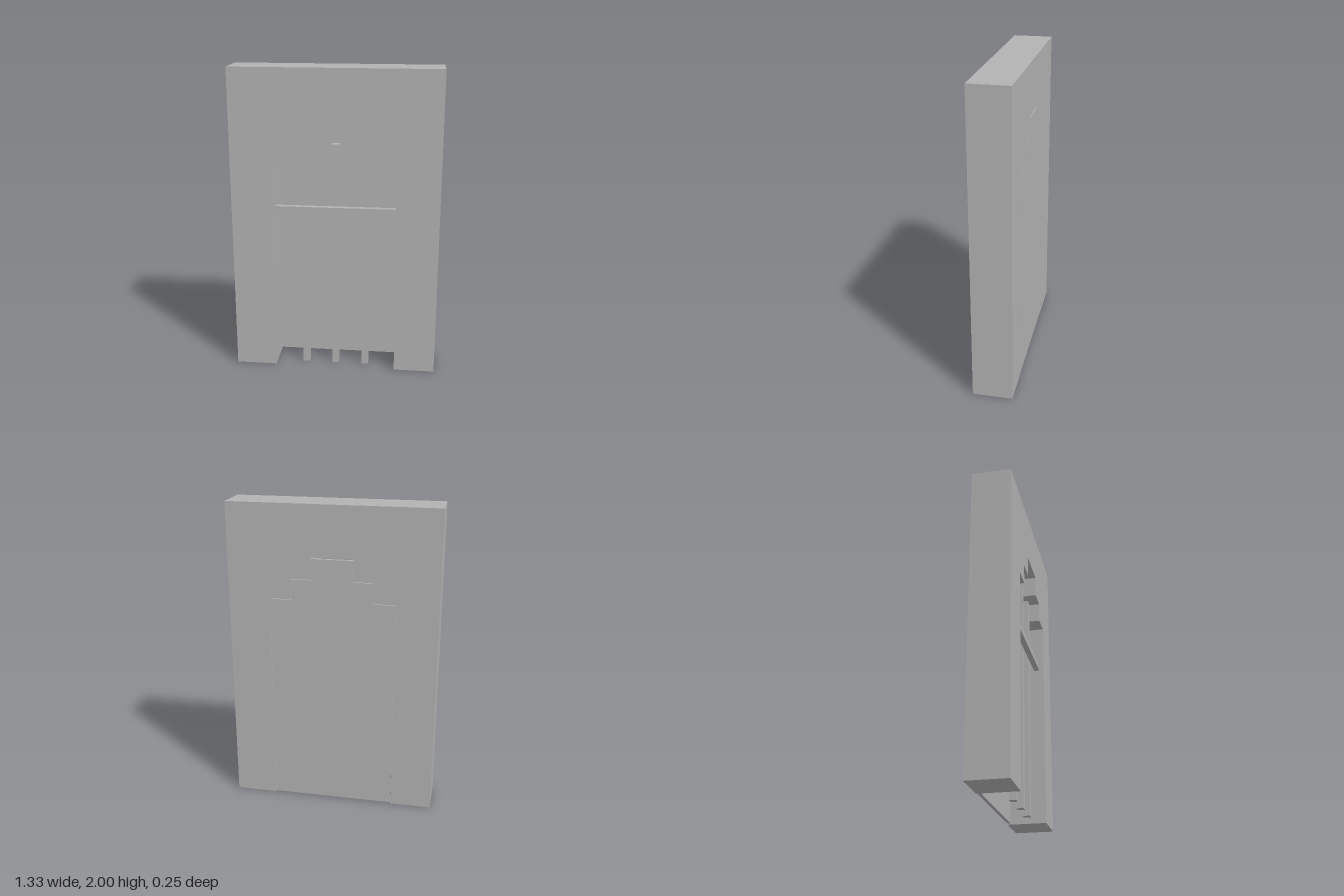
import * as THREE from 'three';

const grey = new THREE.MeshStandardMaterial({ color: 0xb2b2b2 });
grey.name = 'stone grey';

// Right half of the stepped arch, from the floor to the crown; mirrored for the left
function archOutline(inset, bottom, crown) {
  const half = [
    [0.4, bottom], [0.4, 1.4], [0.265, 1.4], [0.265, 1.533], [0.133, 1.533], [0.133, crown],
  ].map(([x, y], i) => [x - inset, i > 0 && i < 5 ? y - inset : y]);
  const mirrored = half.map(([x, y]) => [-x, y]).reverse();
  return [...half, ...mirrored].map(([x, y]) => new THREE.Vector2(x, y));
}

function addMesh(group, name, geometry, x = 0, y = 0, z = 0) {
  const mesh = new THREE.Mesh(geometry, grey);
  mesh.name = name;
  mesh.position.set(x, y, z);
  group.add(mesh);
}

function extrude(points, depth) {
  return new THREE.ExtrudeGeometry(new THREE.Shape(points), { depth, bevelEnabled: false });
}

export function createModel() {
  const group = new THREE.Group();
  group.name = 'steppedDoorway';

  // Wall slab with the stepped opening cut up from the floor
  const wall = [
    new THREE.Vector2(-0.667, 0), ...archOutline(0, 0, 1.674).reverse(),
    new THREE.Vector2(0.667, 0), new THREE.Vector2(0.667, 2), new THREE.Vector2(-0.667, 2),
  ];
  addMesh(group, 'wall', extrude(wall, 0.255), 0, 0, -0.1275);

  // Thin panel closing the back of the opening, with a small gap around it
  addMesh(group, 'backPanel', extrude(archOutline(0.003, 0.008, 1.665), 0.021), 0, 0, -0.1275);

  // Three upright bars and the rail across their front
  for (const x of [-0.2, 0, 0.2]) {
    addMesh(group, 'uprightBar', new THREE.BoxGeometry(0.044, 1.52, 0.044), x, 0.76, 0.042);
  }
  addMesh(group, 'crossRail', new THREE.BoxGeometry(0.77, 0.046, 0.036), 0, 1.093, 0.082);

  return group;
}
